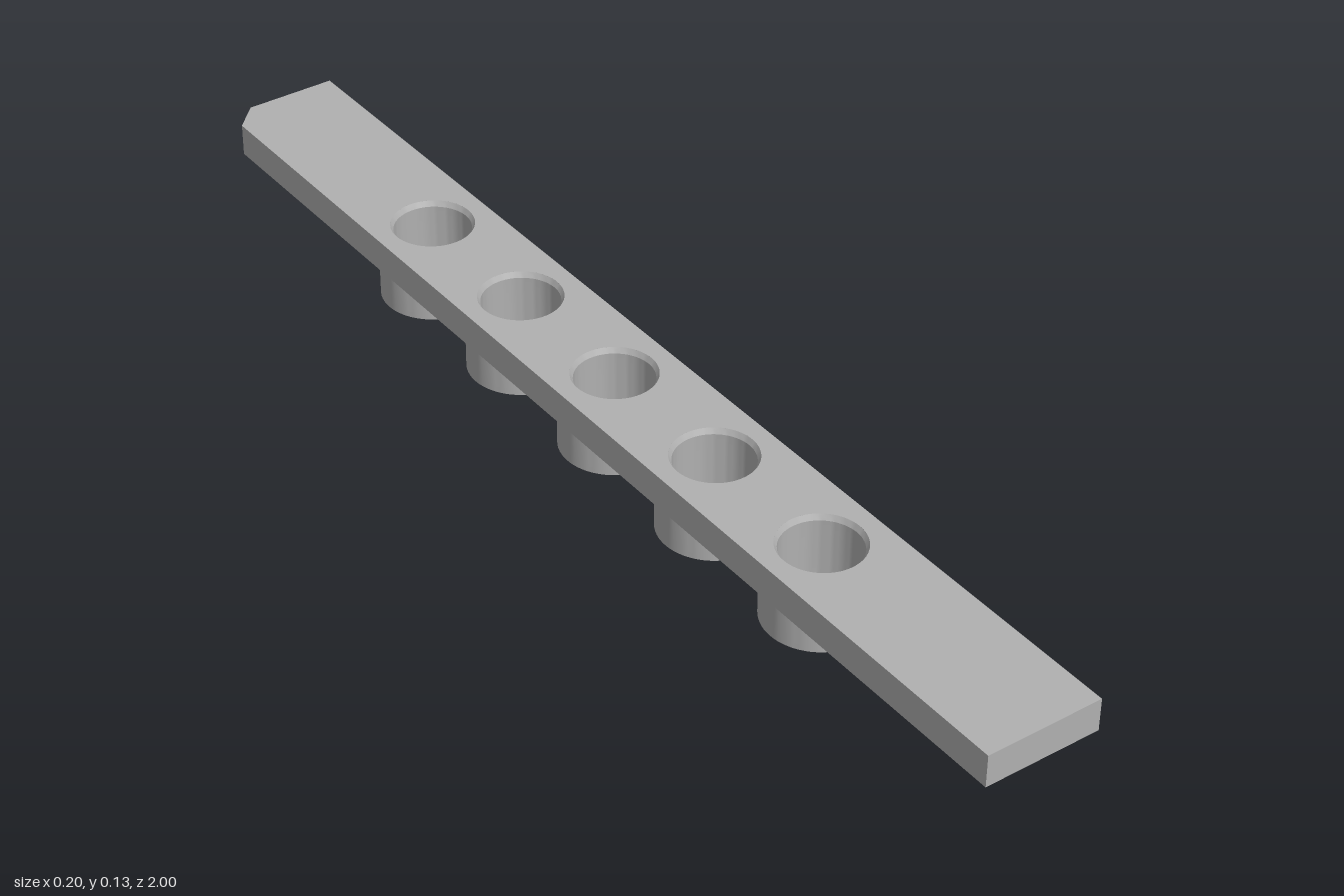
import * as THREE from 'three';
import { toCreasedNormals } from 'three/addons/utils/BufferGeometryUtils.js';

const TOP = 0.129, UNDERSIDE = 0.073;       // bar faces
const RIM = 0.069, BORE = 0.064, OUTER = 0.089; // sleeve radii
const PITCH = 0.257, COUNT = 5, SEGMENTS = 64;

export function createModel() {
  const grey = new THREE.MeshStandardMaterial({ color: 0xb0b0b0 });
  grey.name = 'grey';
  const group = new THREE.Group();
  group.name = 'perforatedBar';
  const centres = Array.from({ length: COUNT }, (_, i) => (i - (COUNT - 1) / 2) * PITCH);

  // Flat bar with one clipped corner at the back right, drawn in x and z
  const outline = new THREE.Shape([
    [-0.1, 1], [-0.1, -0.957], [-0.058, -1], [0.1, -1], [0.1, 1],
  ].map(([x, z]) => new THREE.Vector2(x, z)));
  for (const z of centres) {
    outline.holes.push(new THREE.Path().absarc(0, z, RIM, 0, Math.PI * 2, true));
  }
  const barGeometry = new THREE.ExtrudeGeometry(outline, {
    depth: TOP - UNDERSIDE, bevelEnabled: false, curveSegments: SEGMENTS,
  });
  barGeometry.rotateX(Math.PI / 2).translate(0, TOP, 0);
  const bar = new THREE.Mesh(barGeometry, grey);
  bar.name = 'bar';
  group.add(bar);

  // Sleeve: bore with a small chamfer at each mouth, bottom ring and outer wall
  const profile = [
    [RIM, TOP], [BORE, TOP - 0.009], [BORE, 0.009],
    [RIM, 0], [OUTER, 0], [OUTER, UNDERSIDE],
  ].map(([r, y]) => new THREE.Vector2(r, y));
  const sleeveGeometry = toCreasedNormals(new THREE.LatheGeometry(profile, SEGMENTS), 0.4);
  centres.forEach((z, i) => {
    const sleeve = new THREE.Mesh(sleeveGeometry, grey);
    sleeve.name = `sleeve${i + 1}`;
    sleeve.position.z = z;
    group.add(sleeve);
  });

  return group;
}
